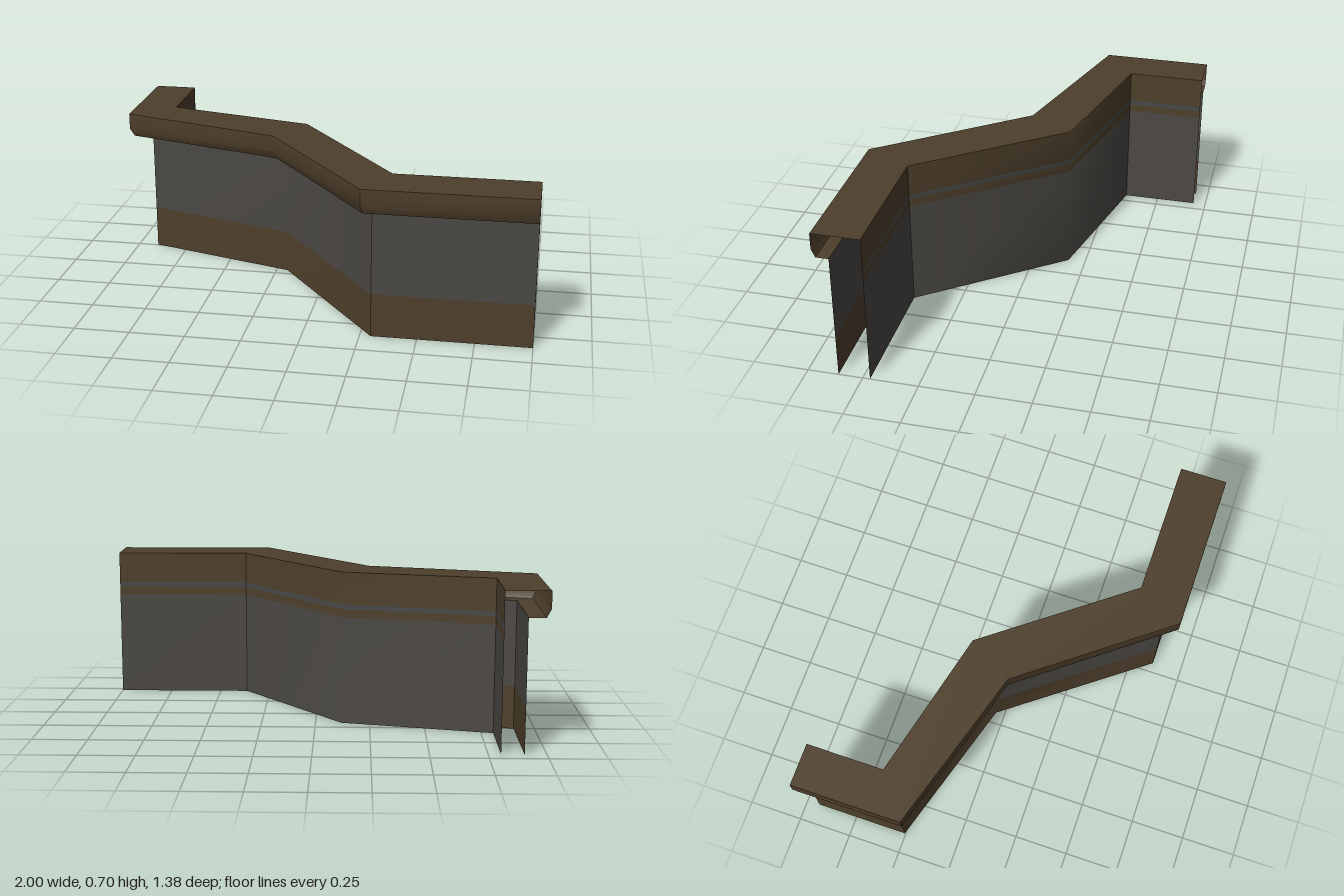
import * as THREE from 'three';
import { toCreasedNormals } from 'three/addons/utils/BufferGeometryUtils.js';

// Plan of the counter, as [x, z] corners running from its right end to its left end
const lipPath = [[-1, -0.69], [-1, -0.185], [-0.243, 0.04], [0.257, 0.685], [1, 0.685]];
const backPath = [[-0.805, -0.69], [-0.805, -0.335], [-0.12, -0.168], [0.366, 0.467], [1, 0.467]];
const wallPath = [[-0.905, -0.69], [-0.905, -0.255], [-0.197, -0.042], [0.298, 0.61], [1, 0.61]];

// Slightly inset path for the lower edge of the lip's bevel
const bevelPath = lipPath.map(([x, z], i) => [
  x + (backPath[i][0] - x) * 0.1,
  z + (backPath[i][1] - z) * 0.08,
]);

// Sweep a short run of [path, y] rows into an open shell
function strip(rows) {
  const positions = [], index = [];
  const n = lipPath.length;
  rows.forEach(([path, y]) => path.forEach(([x, z]) => positions.push(x, y, z)));
  for (let r = 0; r < rows.length - 1; r++) {
    for (let i = 0; i < n - 1; i++) {
      const a = r * n + i, b = a + n;
      index.push(a, a + 1, b + 1, a, b + 1, b);
    }
  }
  const geometry = new THREE.BufferGeometry();
  geometry.setAttribute('position', new THREE.Float32BufferAttribute(positions, 3));
  geometry.setIndex(index);
  return toCreasedNormals(geometry, 0.75);
}

export function createModel() {
  const material = (name, color) => {
    const m = new THREE.MeshStandardMaterial({ color, side: THREE.DoubleSide });
    m.name = name;
    return m;
  };
  const wood = material('brown wood', 0x4e3f2b);
  const panel = material('grey panel', 0x4b4844);
  const trim = material('blue grey trim', 0x474948);

  const group = new THREE.Group();
  group.name = 'counter';
  const add = (name, mat, rows) => {
    const mesh = new THREE.Mesh(strip(rows), mat);
    mesh.name = name;
    group.add(mesh);
  };

  // Front wall with its kick board
  add('kickBoard', wood, [[wallPath, 0], [wallPath, 0.2]]);
  add('frontPanel', panel, [[wallPath, 0.2], [wallPath, 0.592]]);

  // Overhanging worktop with bevelled lip
  add('worktop', wood, [
    [wallPath, 0.592], [bevelPath, 0.592], [lipPath, 0.63],
    [lipPath, 0.705], [backPath, 0.705],
  ]);

  // Back wall, banded from the worktop down to the floor
  add('backUpperBoard', wood, [[backPath, 0.705], [backPath, 0.556]]);
  add('backTrim', trim, [[backPath, 0.556], [backPath, 0.534]]);
  add('backLowerBoard', wood, [[backPath, 0.534], [backPath, 0.497]]);
  add('backPanel', panel, [[backPath, 0.497], [backPath, 0]]);

  return group;
}
